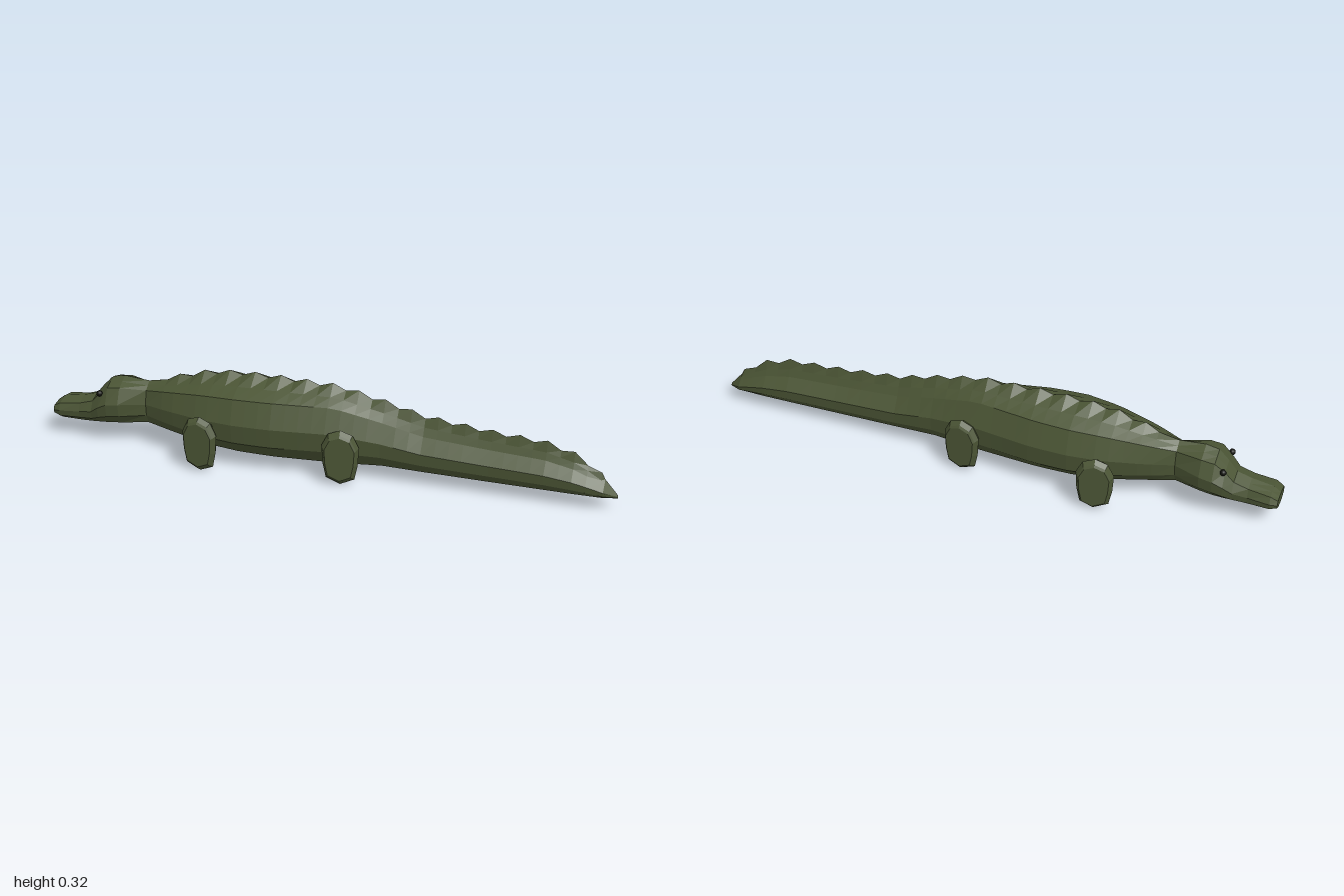
import * as THREE from 'three';

const skin = new THREE.MeshStandardMaterial({ color: 0x4b5535, flatShading: true });
const black = new THREE.MeshStandardMaterial({ color: 0x10110c });

// Stations from snout to tail tip: x, bottom, top, halfWidth, shoulderY, shoulderHalfWidth
const STATIONS = [
  [-1.0, 0.078, 0.122, 0.050, 0.116, 0.043],
  [-0.975, 0.066, 0.140, 0.059, 0.130, 0.048],
  [-0.90, 0.064, 0.153, 0.056, 0.140, 0.046],
  [-0.85, 0.068, 0.168, 0.066, 0.155, 0.046],
  [-0.82, 0.072, 0.205, 0.078, 0.190, 0.050],
  [-0.785, 0.075, 0.240, 0.085, 0.220, 0.058],
  [-0.74, 0.080, 0.249, 0.081, 0.225, 0.058],
  [-0.65, 0.086, 0.242, 0.043, 0.218, 0.034],
  [-0.56, 0.074, 0.262, 0.080, 0.236, 0.062],
  [-0.42, 0.053, 0.304, 0.120, 0.257, 0.092],
  [-0.30, 0.045, 0.314, 0.134, 0.265, 0.106],
  [-0.18, 0.043, 0.316, 0.130, 0.266, 0.100],
  [0.04, 0.045, 0.312, 0.096, 0.262, 0.062],
  [0.20, 0.055, 0.278, 0.071, 0.222, 0.040],
  [0.34, 0.052, 0.243, 0.061, 0.186, 0.028],
  [0.55, 0.050, 0.222, 0.054, 0.170, 0.022],
  [0.75, 0.050, 0.210, 0.052, 0.160, 0.020],
  [0.86, 0.050, 0.178, 0.048, 0.138, 0.020],
  [0.95, 0.050, 0.112, 0.036, 0.095, 0.018],
  [0.995, 0.050, 0.060, 0.004, 0.057, 0.003],
];
const SCUTE_START = -0.58, SCUTE_STEP = 0.046;

// Half cross-section mirrored into a full ring of [y, z]
function section([, bottom, top, w, shoulderY, shoulderW], bump) {
  const at = t => bottom + (shoulderY - bottom) * t;
  const half = [
    [top + bump, 0],
    [top + (shoulderY - top) * 0.5, shoulderW * 0.5],
    [shoulderY, shoulderW],
    [at(0.62), w],
    [at(0.30), w * 0.92],
    [at(0.04), w * 0.5],
    [bottom, 0],
  ];
  return [...half, ...half.slice(1, -1).reverse().map(([y, z]) => [y, -z])];
}

function stationAt(x) {
  let i = 0;
  while (i < STATIONS.length - 2 && STATIONS[i + 1][0] < x) i++;
  const a = STATIONS[i], b = STATIONS[i + 1];
  const t = (x - a[0]) / (b[0] - a[0]);
  return a.map((v, k) => v + (b[k] - v) * t);
}

// Skins rings of points, all of equal length, and caps both ends
function loft(rings) {
  const n = rings[0].length, position = [], index = [];
  rings.forEach(r => r.forEach(p => position.push(...p)));
  for (let i = 0; i < rings.length - 1; i++) {
    for (let j = 0; j < n; j++) {
      const a = i * n + j, b = i * n + (j + 1) % n;
      index.push(a, b, a + n, b, b + n, a + n);
    }
  }
  const last = (rings.length - 1) * n;
  for (let j = 1; j < n - 1; j++) {
    index.push(0, j + 1, j, last, last + j, last + j + 1);
  }
  const g = new THREE.BufferGeometry();
  g.setAttribute('position', new THREE.Float32BufferAttribute(position, 3));
  g.setIndex(index);
  g.computeVertexNormals();
  return g;
}

// Head, trunk and tail in one skin, with a row of scutes along the ridge
function makeBody() {
  const rings = [];
  const addRing = (s, bump) => rings.push(section(s, bump).map(([y, z]) => [s[0], y, z]));
  STATIONS.filter(s => s[0] < SCUTE_START).forEach(s => addRing(s, 0));
  for (let k = 0; SCUTE_START + k * SCUTE_STEP < 0.95; k++) {
    addRing(stationAt(SCUTE_START + k * SCUTE_STEP), k % 2 ? 0.014 : -0.002);
  }
  STATIONS.filter(s => s[0] >= 0.95).forEach(s => addRing(s, 0));
  return new THREE.Mesh(loft(rings), skin);
}

// Flat bevelled paddle: a full outline between two inset faces
function makeLeg() {
  const outline = [
    [0, 0.100], [-0.042, 0.084], [-0.064, 0.040], [-0.060, -0.025],
    [-0.049, -0.078], [0, -0.100], [0.049, -0.078], [0.060, -0.025],
    [0.064, 0.040], [0.042, 0.084],
  ];
  const ring = (z, s) => outline.map(([x, y]) => [x * s, y * s, z]);
  return new THREE.Mesh(loft([
    ring(-0.021, 0.80), ring(-0.016, 0.88), ring(0, 1), ring(0.016, 0.88), ring(0.021, 0.80),
  ]), skin);
}

export function createModel() {
  const model = new THREE.Group();
  model.name = 'crocodile';

  const body = makeBody();
  body.name = 'body';
  model.add(body);

  for (const side of [1, -1]) {
    const name = side > 0 ? 'Left' : 'Right';

    // Legs, angled to follow the flank
    for (const [part, x, z, turn] of [['frontLeg', -0.41, 0.148, -0.13], ['hindLeg', 0.075, 0.102, 0.12]]) {
      const leg = makeLeg();
      leg.name = part + name;
      leg.position.set(x, 0.105, side * z);
      leg.rotation.y = side * turn;
      model.add(leg);
    }

    // Eyes
    const eye = new THREE.Mesh(new THREE.SphereGeometry(0.011, 10, 8), black);
    eye.name = 'eye' + name;
    eye.position.set(-0.815, 0.195, side * 0.059);
    model.add(eye);
  }
  return model;
}
